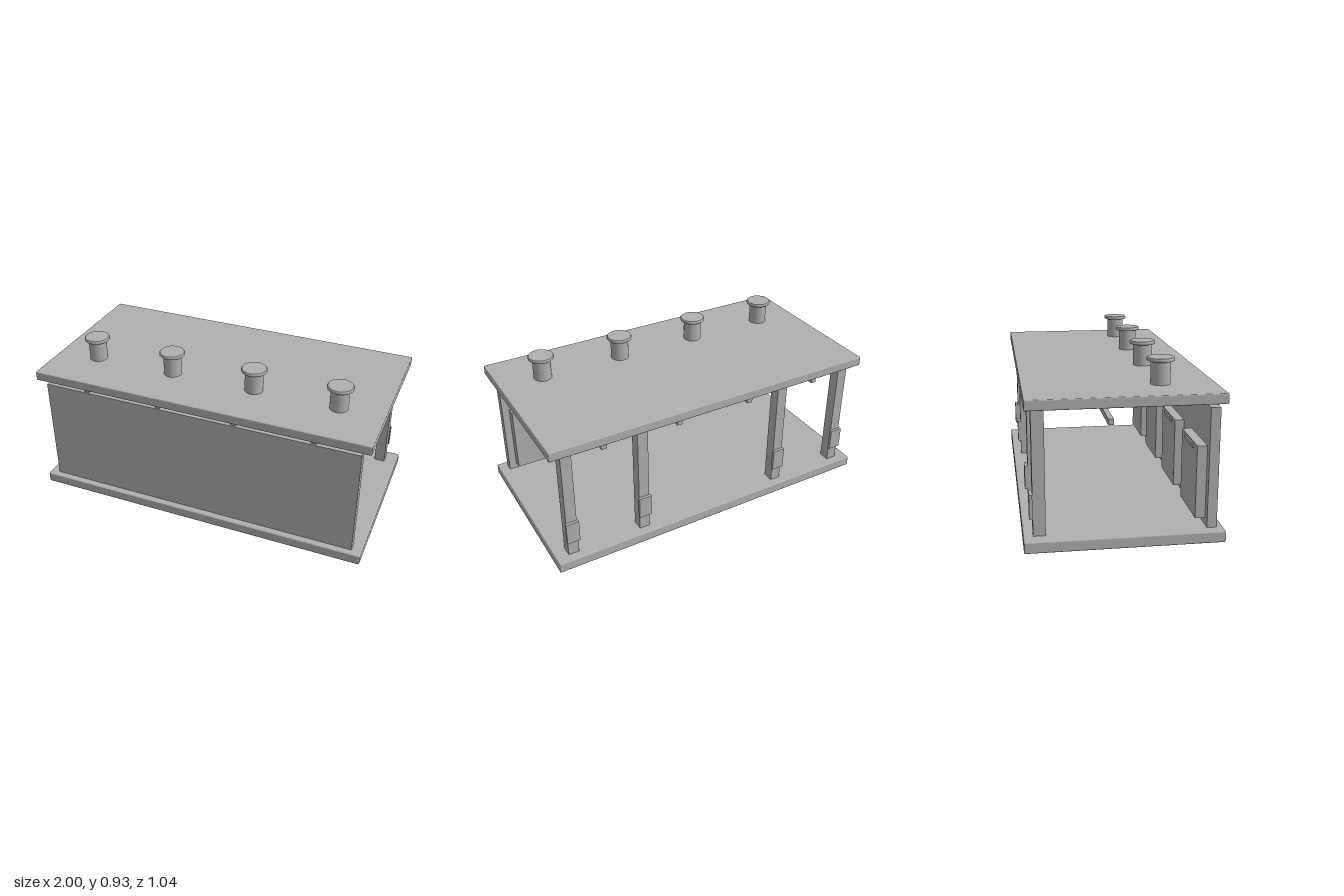
import * as THREE from 'three';
import { RoundedBoxGeometry } from 'three/addons/geometries/RoundedBoxGeometry.js';

export function createModel() {
  const model = new THREE.Group();
  model.name = 'shelter';
  const grey = new THREE.MeshStandardMaterial({ color: 0xb0b0b0 });
  grey.name = 'plain grey';

  const add = (name, geometry, x = 0, y = 0, z = 0) => {
    const mesh = new THREE.Mesh(geometry, grey);
    mesh.name = name;
    mesh.position.set(x, y, z);
    model.add(mesh);
    return mesh;
  };

  // Box given by its limits on each axis; a radius softens the edges
  const block = (name, [x0, x1], [y0, y1], [z0, z1], radius = 0) => {
    const size = [x1 - x0, y1 - y0, z1 - z0];
    const geometry = radius
      ? new RoundedBoxGeometry(...size, 2, radius)
      : new THREE.BoxGeometry(...size);
    return add(name, geometry, (x0 + x1) / 2, (y0 + y1) / 2, (z0 + z1) / 2);
  };
  const around = (x, width) => [x - width / 2, x + width / 2];

  // Floor, roof and long front wall
  block('floorSlab', [-1, 1], [0, 0.062], [-0.518, 0.518], 0.008);
  block('roofSlab', [-0.995, 0.995], [0.734, 0.789], [-0.503, 0.505], 0.006);
  block('frontWall', [-0.943, 0.943], [0.062, 0.705], [0.43, 0.482]);

  // Rear posts, each with a small box on its outer face
  for (const x of [-0.895, -0.455, 0.455, 0.895]) {
    block('rearPost', around(x, 0.062), [0.062, 0.73], [-0.468, -0.403]);
    block('postBox', around(x, 0.075), [0.154, 0.285], [-0.485, -0.468]);
  }

  // Roof beams running from front to back
  for (const x of [-0.68, -0.228, 0.228, 0.68]) {
    block('roofBeam', around(x, 0.032), [0.687, 0.734], [-0.468, 0.472]);
  }

  // Long rail hung under the roof
  block('ceilingRail', [-0.87, 0.87], [0.614, 0.646], [-0.077, -0.049]);

  // Roof vent profile: pipe with a rounded cap
  const ventProfile = [
    [0.052, 0], [0.052, 0.122], [0.052, 0.122], [0.069, 0.122], [0.073, 0.126],
    [0.073, 0.136], [0.069, 0.141], [0.069, 0.141], [0, 0.141],
  ].map(([r, y]) => new THREE.Vector2(r, y));
  // Straight segments kept separate so the edges stay crisp
  const ventParts = [ventProfile.slice(0, 2), ventProfile.slice(2, 4),
    ventProfile.slice(3, 7), ventProfile.slice(7)];

  // Cabinets on the inside of the wall, with a vent above each
  for (const x of [-0.74, -0.25, 0.25, 0.74]) {
    block('wallCabinet', around(x, 0.32), [0.1, 0.494], [0.377, 0.43]);
    block('cabinetHandle', around(x, 0.18), [0.465, 0.483], [0.369, 0.377]);
    for (const part of ventParts) {
      add('roofVent', new THREE.LatheGeometry(part, 32), x, 0.789, 0.213);
    }
  }
  return model;
}
